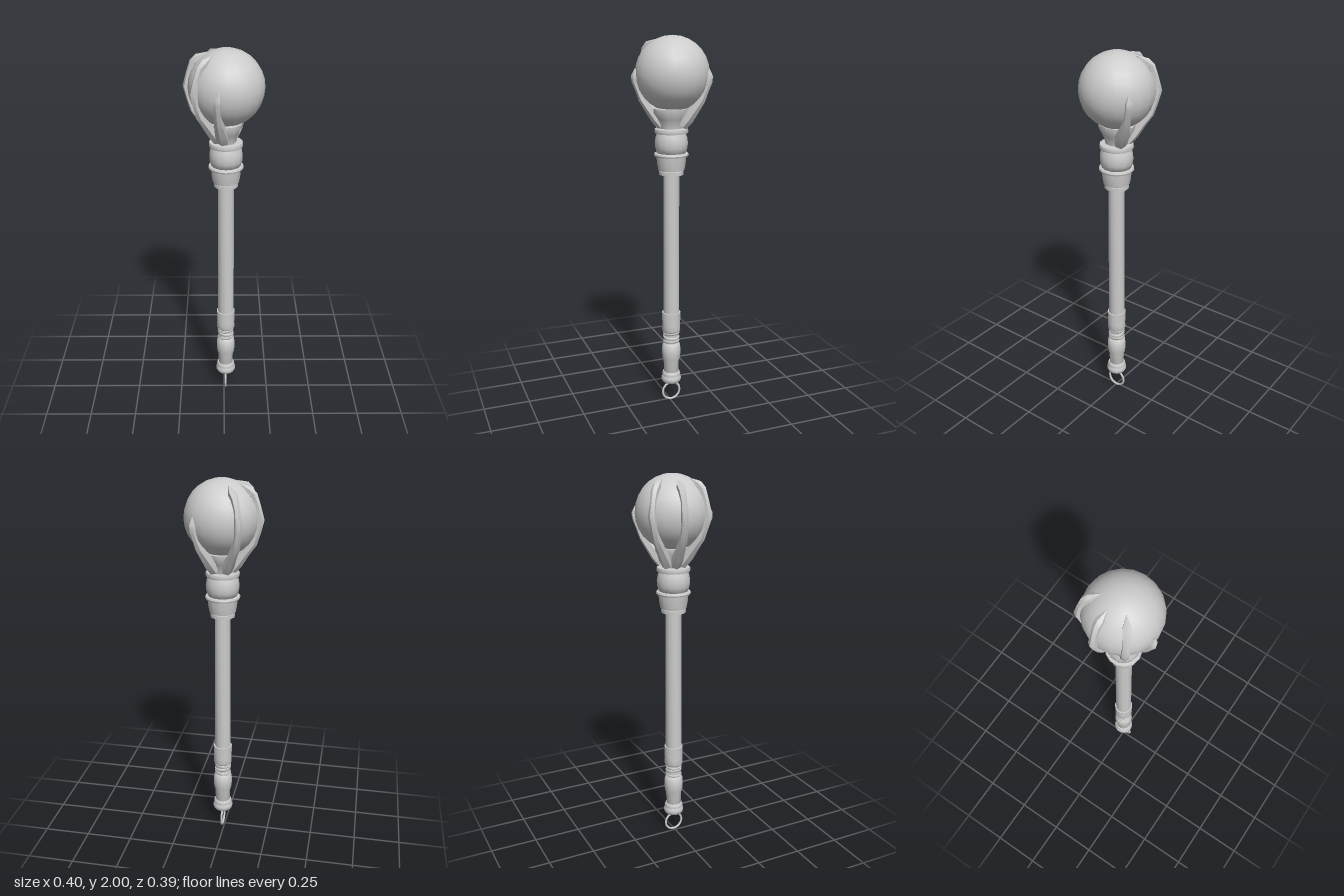
import * as THREE from 'three';
import { toCreasedNormals } from 'three/addons/utils/BufferGeometryUtils.js';

const AXIS = { x: 0.01, z: -0.005 };
const ORB = new THREE.Vector3(0.012, 1.811, -0.01);
const ORB_R = 0.189;

export function createModel() {
  const model = new THREE.Group();
  model.name = 'clawScepter';
  const grey = new THREE.MeshStandardMaterial({ color: 0xcccccc });
  grey.name = 'plainGrey';

  function add(name, geometry, parent = model) {
    const mesh = new THREE.Mesh(geometry, grey);
    mesh.name = name;
    parent.add(mesh);
    return mesh;
  }

  // Turned part around the staff axis, profile listed bottom to top as [radius, y]
  function turned(name, profile, sides = 14) {
    const points = profile.map(([r, y]) => new THREE.Vector2(r, y));
    const mesh = add(name, toCreasedNormals(new THREE.LatheGeometry(points, sides), 0.7));
    mesh.position.set(AXIS.x, 0, AXIS.z);
    return mesh;
  }

  // Tapered limb with a hexagonal section; stations are { p, r }
  function limb(stations, sides = 6) {
    const positions = [], index = [];
    stations.forEach(({ p, r }, i) => {
      const before = stations[Math.max(i - 1, 0)].p;
      const after = stations[Math.min(i + 1, stations.length - 1)].p;
      const t = after.clone().sub(before).normalize();
      const n = p.clone().sub(ORB);
      n.addScaledVector(t, -n.dot(t)).normalize();
      const b = t.clone().cross(n);
      for (let j = 0; j < sides; j++) {
        const a = (j / sides) * Math.PI * 2;
        const v = p.clone().addScaledVector(n, r * Math.cos(a)).addScaledVector(b, r * Math.sin(a));
        positions.push(v.x, v.y, v.z);
        if (i < stations.length - 1) {
          const k = i * sides + j, m = i * sides + (j + 1) % sides;
          index.push(k, m, k + sides, m, m + sides, k + sides);
        }
      }
    });
    const g = new THREE.BufferGeometry();
    g.setAttribute('position', new THREE.Float32BufferAttribute(positions, 3));
    g.setIndex(index);
    return toCreasedNormals(g, 0.8);
  }

  // Hanging loop at the foot
  const loop = add('hangingLoop', new THREE.TorusGeometry(0.05, 0.0065, 6, 14));
  loop.rotation.y = Math.PI / 2;
  loop.position.set(AXIS.x, 0.0565, AXIS.z);

  // Foot knob
  turned('footKnob', [[0, 0.108], [0.03, 0.11], [0.047, 0.117], [0.055, 0.13], [0.055, 0.145],
    [0.049, 0.157], [0.051, 0.168], [0.045, 0.18], [0.03, 0.182]]);

  // Wrapped grip
  turned('lowerGrip', [[0.036, 0.17], [0.041, 0.18], [0.042, 0.24], [0.049, 0.26], [0.052, 0.3],
    [0.049, 0.34], [0.04, 0.352], [0.042, 0.37], [0.039, 0.39], [0.042, 0.41]]);
  turned('upperGrip', [[0.04, 0.412], [0.05, 0.425], [0.049, 0.46], [0.051, 0.53], [0.04, 0.53]]);
  [[0.362, 0.12], [0.386, -0.14], [0.408, 0.1]].forEach(([y, tilt]) => {
    const wrap = add('gripWrap', new THREE.TorusGeometry(0.037, 0.0095, 6, 14));
    wrap.rotation.set(Math.PI / 2, tilt, 0);
    wrap.position.set(AXIS.x, y, AXIS.z);
  });

  // Shaft
  turned('shaft', [[0.044, 0.5], [0.043, 0.9], [0.042, 1.31]], 12);

  // Collar with three rings
  turned('collarBase', [[0.04, 1.293], [0.064, 1.295], [0.064, 1.314], [0.055, 1.318]]);
  turned('collarCup', [[0.055, 1.316], [0.068, 1.318], [0.074, 1.35], [0.078, 1.392], [0.07, 1.394]]);
  turned('collarRing', [[0.07, 1.388], [0.088, 1.392], [0.091, 1.4], [0.088, 1.408], [0.07, 1.411]]);
  turned('collarBulge', [[0.07, 1.405], [0.076, 1.41], [0.084, 1.437], [0.086, 1.462], [0.082, 1.49],
    [0.074, 1.512]]);
  turned('collarTop', [[0.07, 1.509], [0.085, 1.511], [0.088, 1.522], [0.085, 1.534], [0.05, 1.537]]);

  // Palm below the orb, flatter from side to side
  const palm = turned('palm', [[0.06, 1.53], [0.064, 1.555], [0.079, 1.585], [0.096, 1.615],
    [0.098, 1.638], [0.06, 1.645]], 12);
  palm.scale.x = 0.86;

  // Orb
  add('orb', new THREE.SphereGeometry(ORB_R, 20, 14)).position.copy(ORB);

  // Point near the orb from azimuth and elevation in degrees
  function around(az, el, dist) {
    const a = THREE.MathUtils.degToRad(az), e = THREE.MathUtils.degToRad(el);
    return new THREE.Vector3(Math.cos(a) * Math.cos(e), Math.sin(e), Math.sin(a) * Math.cos(e))
      .multiplyScalar(dist).add(ORB);
  }

  // Finger joints as [elevation, distance from orb centre, radius]
  const longFinger = [[-79, 0.265, 0.028], [-70, 0.235, 0.03], [-55, 0.207, 0.024], [-36, 0.197, 0.022],
    [-18, 0.191, 0.018], [0, 0.194, 0.022], [20, 0.193, 0.016], [36, 0.199, 0.02], [45, 0.195, 0.022], [62, 0.191, 0.0005]];
  const shortFinger = [[-79, 0.265, 0.03], [-70, 0.235, 0.034], [-56, 0.208, 0.028], [-40, 0.197, 0.022],
    [-26, 0.191, 0.016], [-10, 0.192, 0.019], [-2, 0.192, 0.017], [9, 0.192, 0.0005]];

  // Azimuth at the knuckles and at the claw tip
  const hand = new THREE.Group();
  hand.name = 'claspingHand';
  model.add(hand);
  [['backFinger', 235, 240, longFinger], ['middleFinger', 187, 191, longFinger],
    ['frontFinger', 144, 137, longFinger], ['littleFinger', 106, 100, shortFinger],
    ['thumb', 307, 307, shortFinger]].forEach(([name, az, tipAz, joints]) => {
    const stations = joints.map(([el, dist, r], i) => {
      const f = (i / (joints.length - 1)) ** 3;
      return { p: around(THREE.MathUtils.lerp(az, tipAz, f), el, dist), r };
    });
    add(name, limb(stations), hand);
  });

  return model;
}
